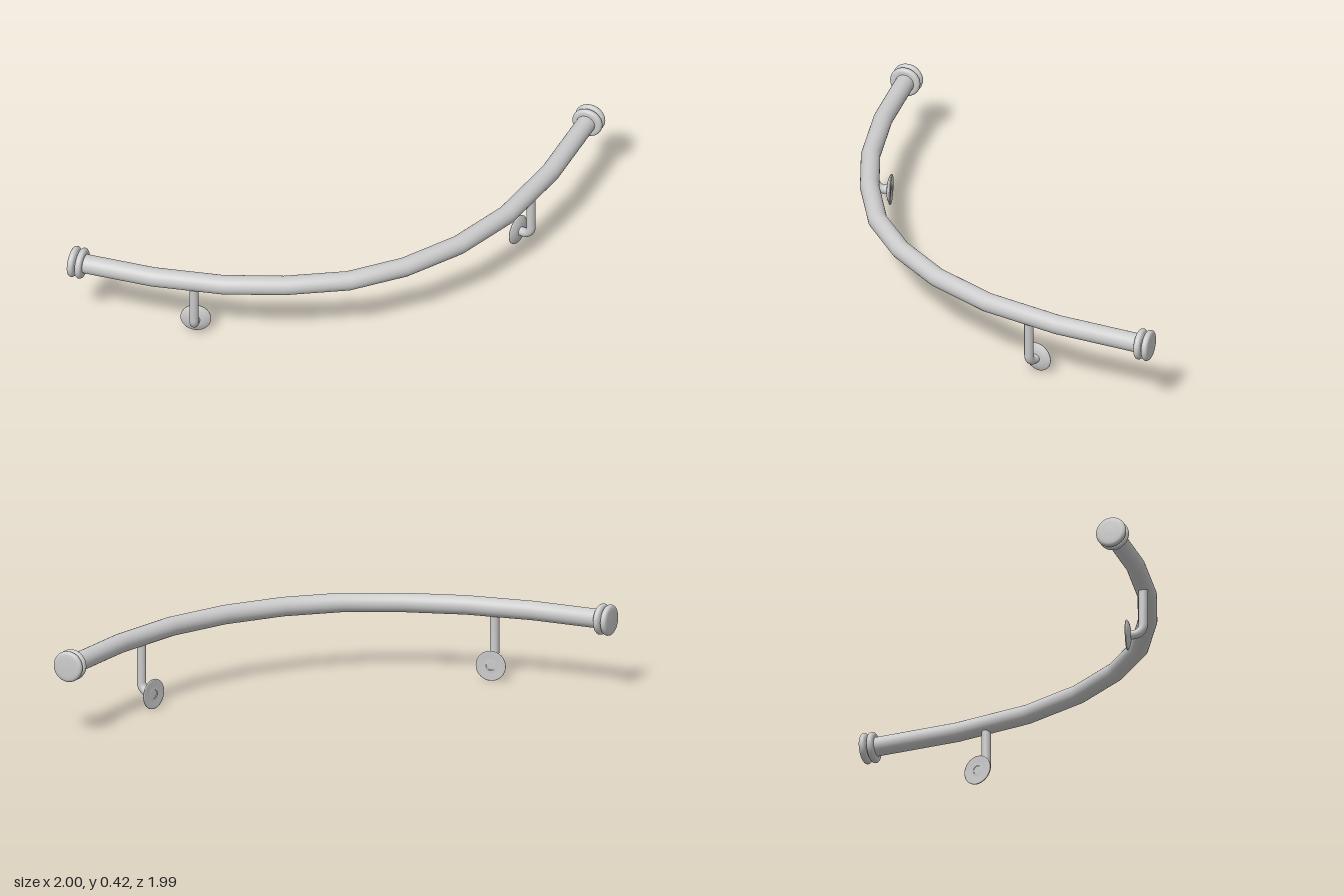
import * as THREE from 'three';

const material = new THREE.MeshStandardMaterial({ color: 0xcccccc });
const shell = new THREE.MeshStandardMaterial({ color: 0xcccccc, side: THREE.DoubleSide });
const RAIL_Y = 0.345;

// Curve through straight segments, one ring per corner, mitred where they meet
class Polyline extends THREE.Curve {
  constructor(points) {
    super();
    this.points = points;
  }
  getPoint(t, target = new THREE.Vector3()) {
    const n = this.points.length - 1;
    const i = Math.min(Math.floor(t * n + 1e-6), n - 1);
    return target.lerpVectors(this.points[i], this.points[i + 1], t * n - i);
  }
  getPointAt(u, target) {
    return this.getPoint(u, target);
  }
  getTangentAt(u, target = new THREE.Vector3()) {
    const n = this.points.length - 1;
    const i = Math.round(u * n);
    const p = this.points;
    target.set(0, 0, 0);
    if (i > 0) target.add(p[i].clone().sub(p[i - 1]).normalize());
    if (i < n) target.add(p[i + 1].clone().sub(p[i]).normalize());
    return target.normalize();
  }
}

function addMesh(parent, name, geometry, mat = material) {
  const mesh = new THREE.Mesh(geometry, mat);
  mesh.name = name;
  parent.add(mesh);
  return mesh;
}

function lathe(profile, segments = 32) {
  return new THREE.LatheGeometry(profile.map(([r, y]) => new THREE.Vector2(r, y)), segments);
}

// Round end fitting: two rounded rims with a groove between; +y points outward
function endCapGeometry() {
  const profile = [[0.04, -0.073]];
  const rim = (y0, y1) => {
    const h = (y1 - y0) / 2;
    for (let i = 0; i <= 8; i++) {
      const a = -Math.PI / 2 + (i / 8) * Math.PI;
      profile.push([0.075 - h + h * Math.cos(a), (y0 + y1) / 2 + h * Math.sin(a)]);
    }
  };
  rim(-0.073, -0.041);
  profile.push([0.054, -0.04], [0.054, -0.035]);
  rim(-0.034, -0.003);
  profile.push([0.045, -0.001], [0, 0]);
  return lathe(profile);
}

// Support: rod dropping from the rail, elbow, and dished wall flange
function createBracket(name, x, z, angle) {
  const bracket = new THREE.Group();
  bracket.name = name;
  bracket.position.set(x, 0, z);
  bracket.rotation.y = angle;

  const low = 0.077, bend = 0.048, reach = 0.076;
  const path = [new THREE.Vector3(0, 0.32, 0)];
  for (let i = 0; i <= 8; i++) {
    const a = (i / 8) * Math.PI / 2;
    path.push(new THREE.Vector3(0, low + bend * (1 - Math.sin(a)), -bend * (1 - Math.cos(a))));
  }
  path.push(new THREE.Vector3(0, low, -reach));
  addMesh(bracket, 'bracketRod',
    new THREE.TubeGeometry(new Polyline(path), path.length - 1, 0.022, 18));

  const rodEnd = addMesh(bracket, 'rodEnd', new THREE.CircleGeometry(0.022, 18));
  rodEnd.position.set(0, low, -reach);
  rodEnd.rotation.y = Math.PI;

  const flange = addMesh(bracket, 'wallFlange', lathe([
    [0.022, 0.002], [0.04, 0.004], [0.068, -0.004 + 0.004], [0.073, 0.003], [0.073, 0.007],
    [0.068, 0.011], [0.05, 0.019], [0.036, 0.022], [0.022, 0.023],
  ]), shell);
  flange.position.set(0, low, -0.081);
  flange.rotation.x = Math.PI / 2;
  return bracket;
}

export function createModel() {
  const model = new THREE.Group();
  model.name = 'curvedFootRail';

  // Curved rail
  const corners = [
    [-0.97, 0.918], [-0.59, 0.902], [-0.26, 0.845], [0.015, 0.75], [0.288, 0.61],
    [0.5, 0.418], [0.68, 0.168], [0.812, -0.133], [0.89, -0.513], [0.92, -0.97],
  ].map(([x, z]) => new THREE.Vector3(x, RAIL_Y, z));
  addMesh(model, 'rail',
    new THREE.TubeGeometry(new Polyline(corners), corners.length - 1, 0.046, 28));

  // End fittings
  const cap = endCapGeometry();
  const leftCap = addMesh(model, 'rightEndCap', cap);
  leftCap.position.set(-1, RAIL_Y, 0.918);
  leftCap.rotation.z = Math.PI / 2;
  const backCap = addMesh(model, 'backEndCap', cap);
  backCap.position.set(0.92, RAIL_Y, -1);
  backCap.rotation.x = -Math.PI / 2;

  // Wall supports
  model.add(createBracket('frontBracket', -0.395, 0.872, 0.235));
  model.add(createBracket('sideBracket', 0.853, -0.355, 1.33));
  return model;
}
